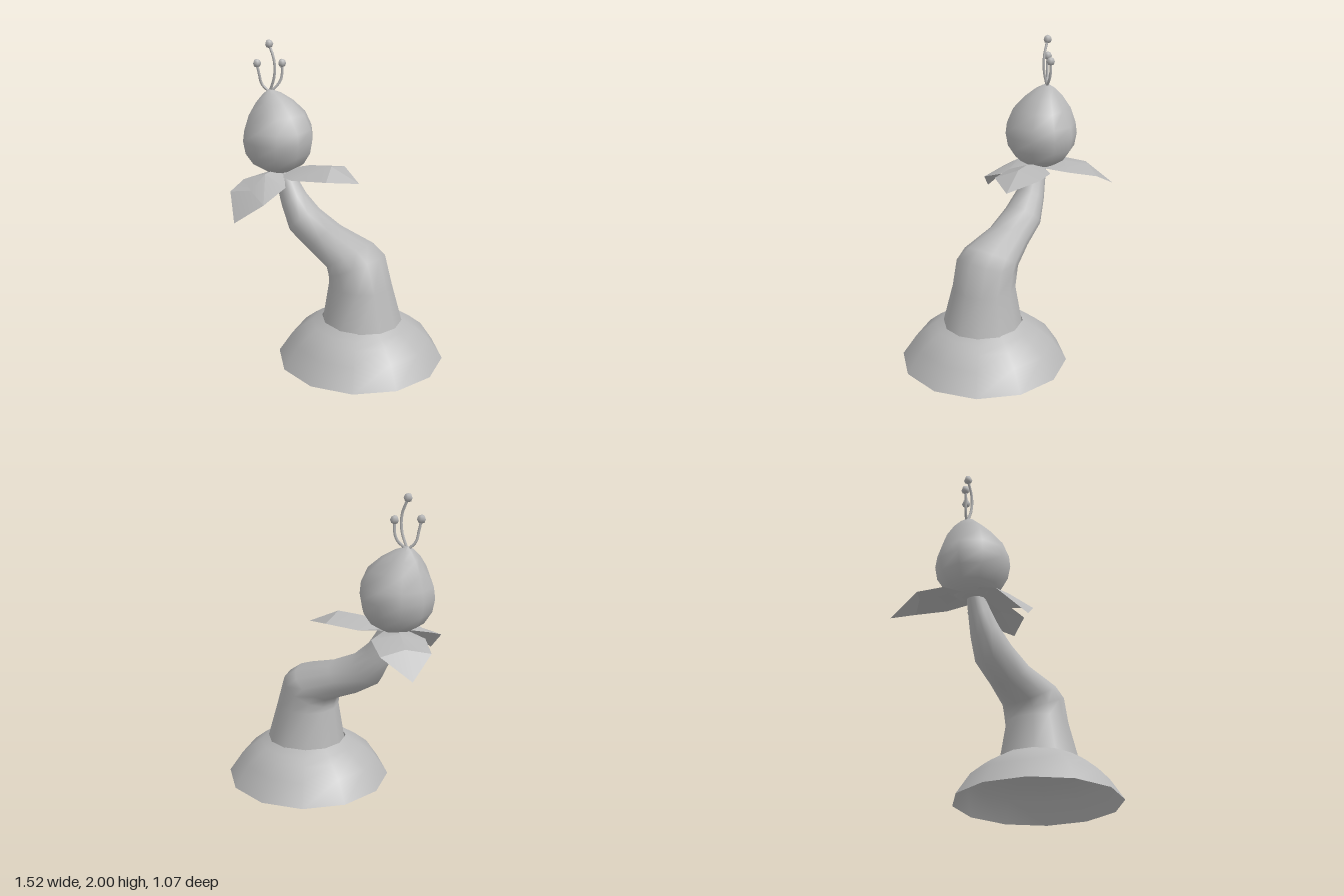
import * as THREE from 'three';
import { toCreasedNormals } from 'three/addons/utils/BufferGeometryUtils.js';

const grey = new THREE.MeshStandardMaterial({ color: 0xb8b8b8, side: THREE.DoubleSide });
grey.name = 'plain grey';

function add(group, name, geometry) {
  const mesh = new THREE.Mesh(geometry, grey);
  mesh.name = name;
  group.add(mesh);
  return mesh;
}

// Indexed surface through a grid of rows of points
function grid(rows, closed) {
  const n = rows[0].length, index = [];
  for (let i = 0; i < rows.length - 1; i++) {
    for (let j = 0; j < (closed ? n : n - 1); j++) {
      const k = (j + 1) % n;
      const a = i * n + j, b = a + n, c = i * n + k, d = c + n;
      index.push(a, b, c, c, b, d);
    }
  }
  const geo = new THREE.BufferGeometry();
  geo.setAttribute('position', new THREE.Float32BufferAttribute(rows.flat(2), 3));
  geo.setIndex(index);
  geo.computeVertexNormals();
  return geo;
}

// Each ring: left x, left y, right x, right y, half width in z
function loft(rings, sides, phase = 0, radial = () => 1) {
  const rows = rings.map(([lx, ly, rx, ry, w], i) =>
    Array.from({ length: sides }, (_, j) => {
      const a = phase + (j / sides) * Math.PI * 2;
      const s = radial(i, j), c = Math.cos(a) * s / 2;
      return [(lx + rx) / 2 + (rx - lx) * c, (ly + ry) / 2 + (ry - ly) * c, Math.sin(a) * w * s];
    }));
  return grid(rows, true);
}

export function createModel() {
  const model = new THREE.Group();

  // Flared, hollow foot
  const foot = [[0.535, 0], [0.445, 0.135], [0.36, 0.205], [0.31, 0.24], [0.25, 0.275]];
  add(model, 'rootBase', loft(foot.map(([r, y]) => [0.225 - r, y, 0.225 + r, y, r]), 12));

  // Bent trunk, tapering to the neck under the bud
  add(model, 'stem', loft([
    [-0.015, 0.26, 0.495, 0.26, 0.255],
    [0.02, 0.51, 0.425, 0.51, 0.2],
    [0.02, 0.54, 0.365, 0.71, 0.2],
    [0.005, 0.59, 0.275, 0.775, 0.185],
    [-0.15, 0.66, 0.03, 0.85, 0.135],
    [-0.31, 0.76, -0.14, 0.93, 0.125],
    [-0.385, 0.91, -0.24, 1.02, 0.095],
    [-0.43, 1.03, -0.30, 1.11, 0.07],
    [-0.47, 1.18, -0.37, 1.2, 0.05],
  ], 12));

  // Bud: left x, right x, height, half depth; folds run down from the tip
  const bud = [
    [-0.45, -0.43, 1.14, 0.01], [-0.52, -0.35, 1.15, 0.09], [-0.6, -0.275, 1.2, 0.17],
    [-0.645, -0.23, 1.275, 0.22], [-0.66, -0.215, 1.36, 0.235], [-0.65, -0.222, 1.435, 0.225],
    [-0.615, -0.27, 1.53, 0.18], [-0.575, -0.35, 1.605, 0.12], [-0.535, -0.43, 1.655, 0.06],
    [-0.505, -0.495, 1.68, 0.006],
  ];
  const folds = [0, 2, 4, 7];
  add(model, 'bud', loft(
    bud.map(([l, r, y, w]) => [l - 0.025 * (r - l), y, r + 0.025 * (r - l), y, w]),
    10, Math.PI / 10,
    (i, j) => (i < 6 || i > 8 ? 1 : folds.includes(j) ? 0.88 : 1.04)));

  // Three ridged leaves: rows of edge, midrib, edge from root to tip
  const leaves = {
    leftLeaf: [
      [[-0.38, 1.14, -0.05], [-0.42, 1.15, 0], [-0.38, 1.13, 0.06]],
      [[-0.27, 1.16, -0.18], [-0.21, 1.21, -0.04], [-0.24, 1.14, 0.12]],
      [[-0.07, 1.18, -0.23], [-0.06, 1.22, -0.07], [0, 1.16, 0.07]],
      [[0.13, 1.13, -0.11], [0.13, 1.13, -0.11], [0.13, 1.13, -0.11]],
    ],
    frontLeaf: [
      [[-0.36, 1.14, 0.04], [-0.42, 1.17, 0.03], [-0.48, 1.14, 0.04]],
      [[-0.255, 1.1, 0.16], [-0.42, 1.16, 0.16], [-0.585, 1.1, 0.18]],
      [[-0.28, 1.03, 0.35], [-0.435, 1.08, 0.29], [-0.59, 1.05, 0.31]],
      [[-0.45, 0.9, 0.44], [-0.45, 0.9, 0.44], [-0.45, 0.9, 0.44]],
    ],
    backLeaf: [
      [[-0.48, 1.14, 0.04], [-0.44, 1.16, 0], [-0.38, 1.14, -0.05]],
      [[-0.66, 1.14, -0.04], [-0.53, 1.17, -0.12], [-0.4, 1.14, -0.24]],
      [[-0.765, 1.1, -0.155], [-0.64, 1.13, -0.25], [-0.54, 1.1, -0.37]],
      [[-0.76, 0.99, -0.37], [-0.76, 0.99, -0.37], [-0.76, 0.99, -0.37]],
    ],
  };
  for (const [name, rows] of Object.entries(leaves)) {
    add(model, name, toCreasedNormals(grid(rows, false), 0.4));
  }

  // Curved stamens with small faceted tips
  const stamens = [
    [[-0.5, 1.66, 0], [-0.46, 1.77, 0], [-0.46, 1.87, 0], [-0.5, 1.972, 0]],
    [[-0.505, 1.66, 0], [-0.545, 1.71, 0.025], [-0.555, 1.77, 0.035], [-0.57, 1.845, 0.04]],
    [[-0.495, 1.66, 0], [-0.455, 1.72, -0.045], [-0.445, 1.77, -0.06], [-0.445, 1.845, -0.06]],
  ];
  for (const points of stamens) {
    const path = new THREE.CatmullRomCurve3(points.map(p => new THREE.Vector3(...p)));
    add(model, 'stamen', new THREE.TubeGeometry(path, 10, 0.009, 5));
    add(model, 'stamenTip', new THREE.SphereGeometry(0.028, 5, 4)).position.set(...points[3]);
  }
  return model;
}
